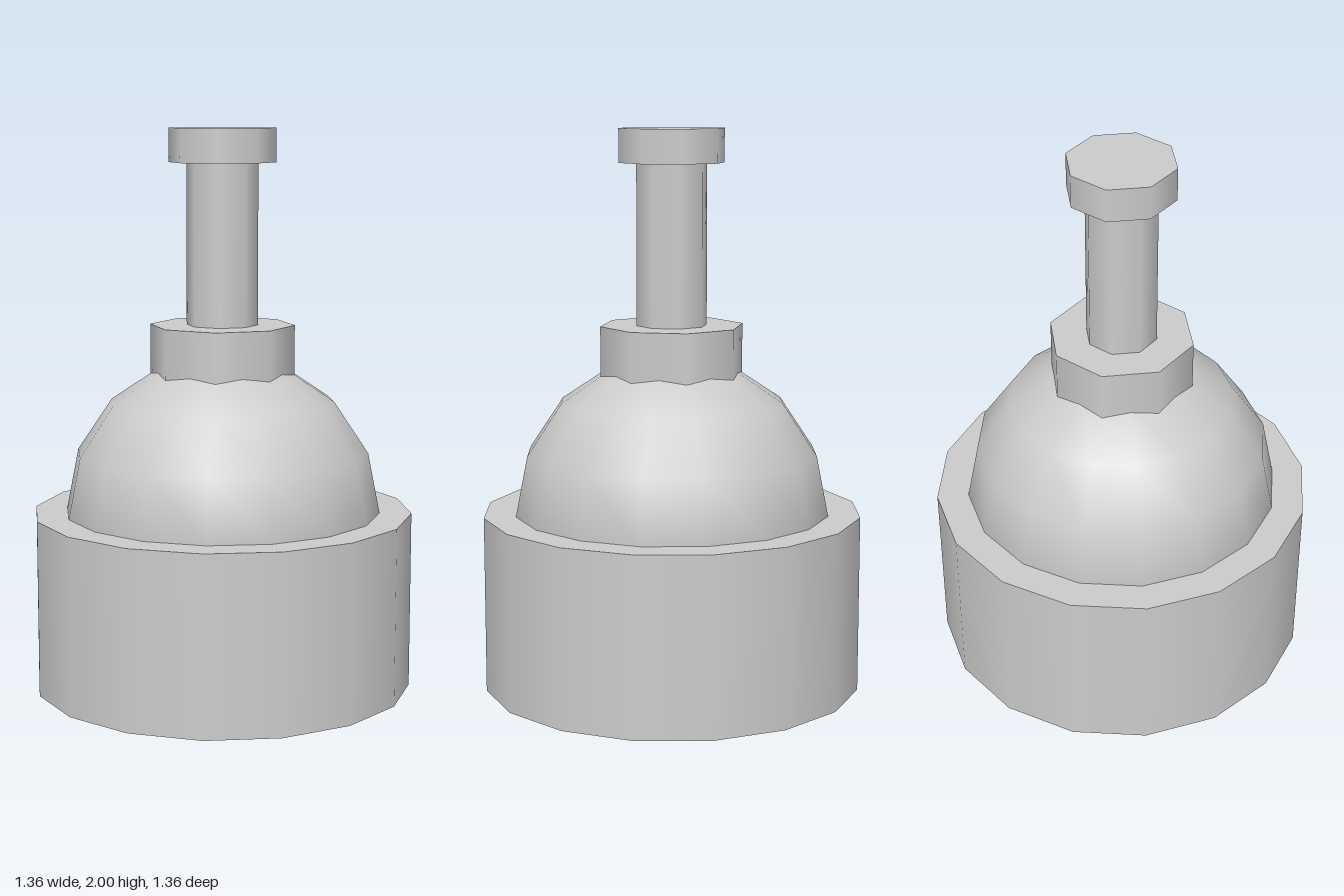
import * as THREE from 'three';

export function createModel() {
  const model = new THREE.Group();
  const solid = new THREE.MeshStandardMaterial({ color: 0xcccccc });
  const thin = new THREE.MeshStandardMaterial({ color: 0xcccccc, side: THREE.DoubleSide });

  const add = (name, geometry, y, material = solid) => {
    const mesh = new THREE.Mesh(geometry, material);
    mesh.name = name;
    mesh.position.y = y;
    model.add(mesh);
    return mesh;
  };

  // Upright prism between two heights
  const prism = (name, radius, bottom, top, sides, open = false) =>
    add(name, new THREE.CylinderGeometry(radius, radius, top - bottom, sides, 1, open),
      (bottom + top) / 2, open ? thin : solid);

  // Thin skirt, open underneath, with a flat lid around the ball
  const rimY = 0.635;
  prism('baseSkirt', 0.68, 0, rimY, 16, true);
  add('baseLid', new THREE.RingGeometry(0.55, 0.68, 16), rimY, thin).rotation.x = -Math.PI / 2;

  // Full ball, its lower half hanging inside the skirt
  add('ball', new THREE.SphereGeometry(0.566, 16, 8), rimY);

  // Eight-sided collar, stem and end cap
  prism('collar', 0.258, 1.12, 1.308, 8);
  prism('stem', 0.127, 1.308, 1.88, 8);
  prism('endCap', 0.19, 1.88, 2, 8);

  return model;
}
